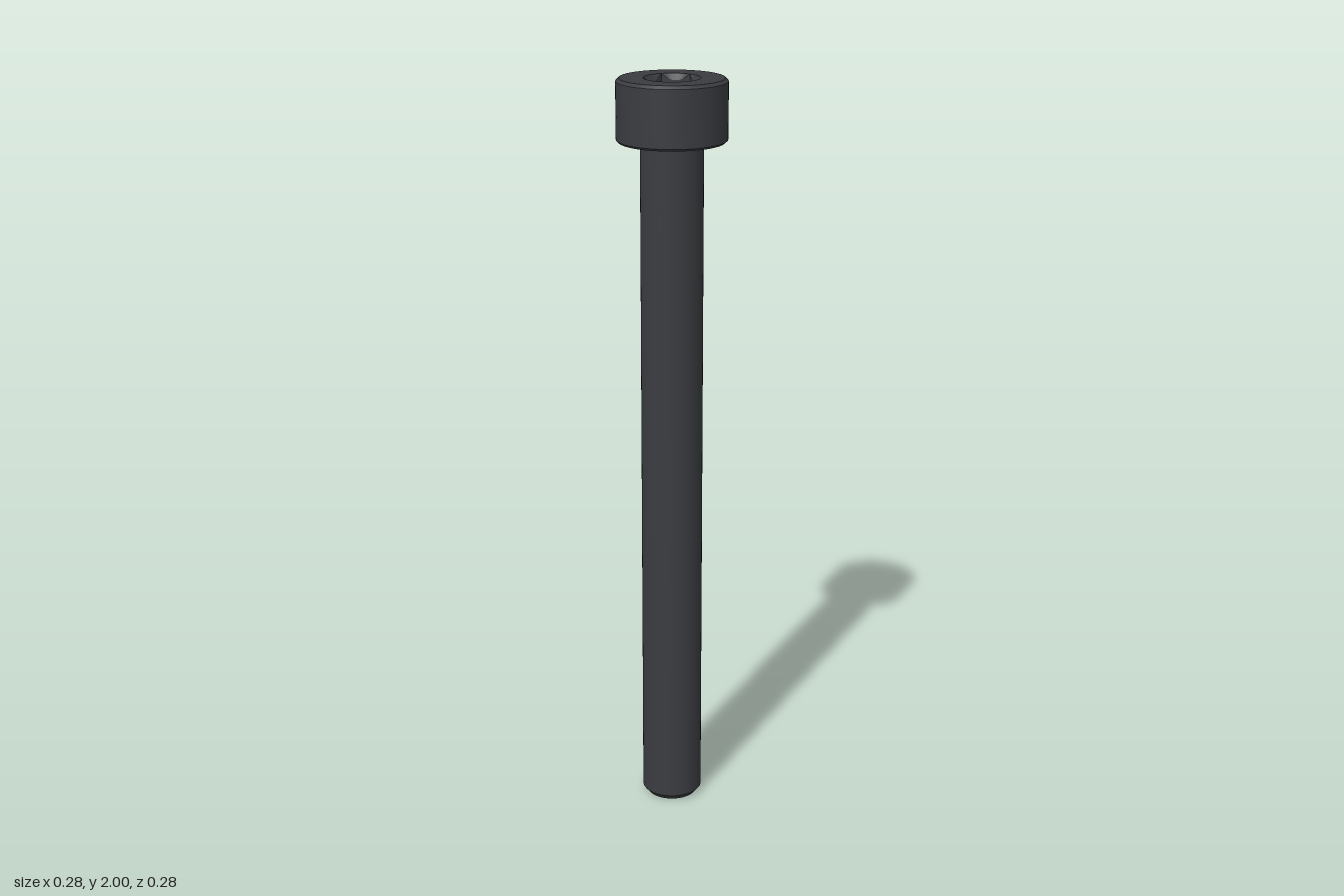
import * as THREE from 'three';
import { toCreasedNormals } from 'three/addons/utils/BufferGeometryUtils.js';

const SEG = 48;
const TOP = 2, HEAD_BASE = 1.84;
const HEAD_R = 0.142, SHANK_R = 0.081;
const SOCKET_R = 0.0725, SOCKET_FLOOR = 1.92;

// Surface of revolution, profile listed from bottom to top
function turned(profile) {
  const points = profile.map(([r, y]) => new THREE.Vector2(r, y));
  return toCreasedNormals(new THREE.LatheGeometry(points, SEG), 0.5);
}

// Hexagonal recess: a countersunk circle blends into six flat walls and a floor
function socketGeometry() {
  const apothem = SOCKET_R * Math.cos(Math.PI / 6);
  const rings = [[], [], [], []];
  for (let i = 0; i < SEG; i++) {
    const a = (i / SEG) * Math.PI * 2;
    const fromFlat = (a % (Math.PI / 3)) - Math.PI / 6;
    const hexR = Math.min(SOCKET_R, apothem / Math.cos(fromFlat));
    const at = (r, y) => [r * Math.cos(a), y, r * Math.sin(a)];
    rings[0].push(at(SOCKET_R, TOP));
    rings[1].push(at(hexR, TOP - (SOCKET_R - hexR) * 1.7));
    rings[2].push(at(hexR, SOCKET_FLOOR));
    rings[3].push([0, SOCKET_FLOOR, 0]);
  }
  const positions = [];
  for (let k = 0; k < 3; k++) {
    for (let i = 0; i < SEG; i++) {
      const j = (i + 1) % SEG;
      const a = rings[k][i], b = rings[k][j];
      const c = rings[k + 1][j], d = rings[k + 1][i];
      positions.push(...a, ...c, ...b);
      if (k < 2) positions.push(...a, ...d, ...c);
      else positions.splice(-9, 9, ...a, ...d, ...b);
    }
  }
  const geometry = new THREE.BufferGeometry();
  geometry.setAttribute('position', new THREE.Float32BufferAttribute(positions, 3));
  return toCreasedNormals(geometry, 0.35);
}

export function createModel() {
  const group = new THREE.Group();
  group.name = 'socketHeadBolt';
  const steel = new THREE.MeshStandardMaterial({ color: 0x3a3c40 });
  const add = (name, geometry) => {
    const mesh = new THREE.Mesh(geometry, steel);
    mesh.name = name;
    group.add(mesh);
  };

  // Long plain shank with a chamfered tip
  add('shank', turned([[0, 0], [0.068, 0], [SHANK_R, 0.016], [SHANK_R, HEAD_BASE]]));

  // Cylindrical head with chamfered rims, open around the socket
  add('head', turned([
    [SHANK_R, HEAD_BASE], [HEAD_R - 0.006, HEAD_BASE], [HEAD_R, HEAD_BASE + 0.006],
    [HEAD_R, TOP - 0.008], [HEAD_R - 0.008, TOP], [SOCKET_R, TOP],
  ]));

  add('hexSocket', socketGeometry());
  return group;
}
